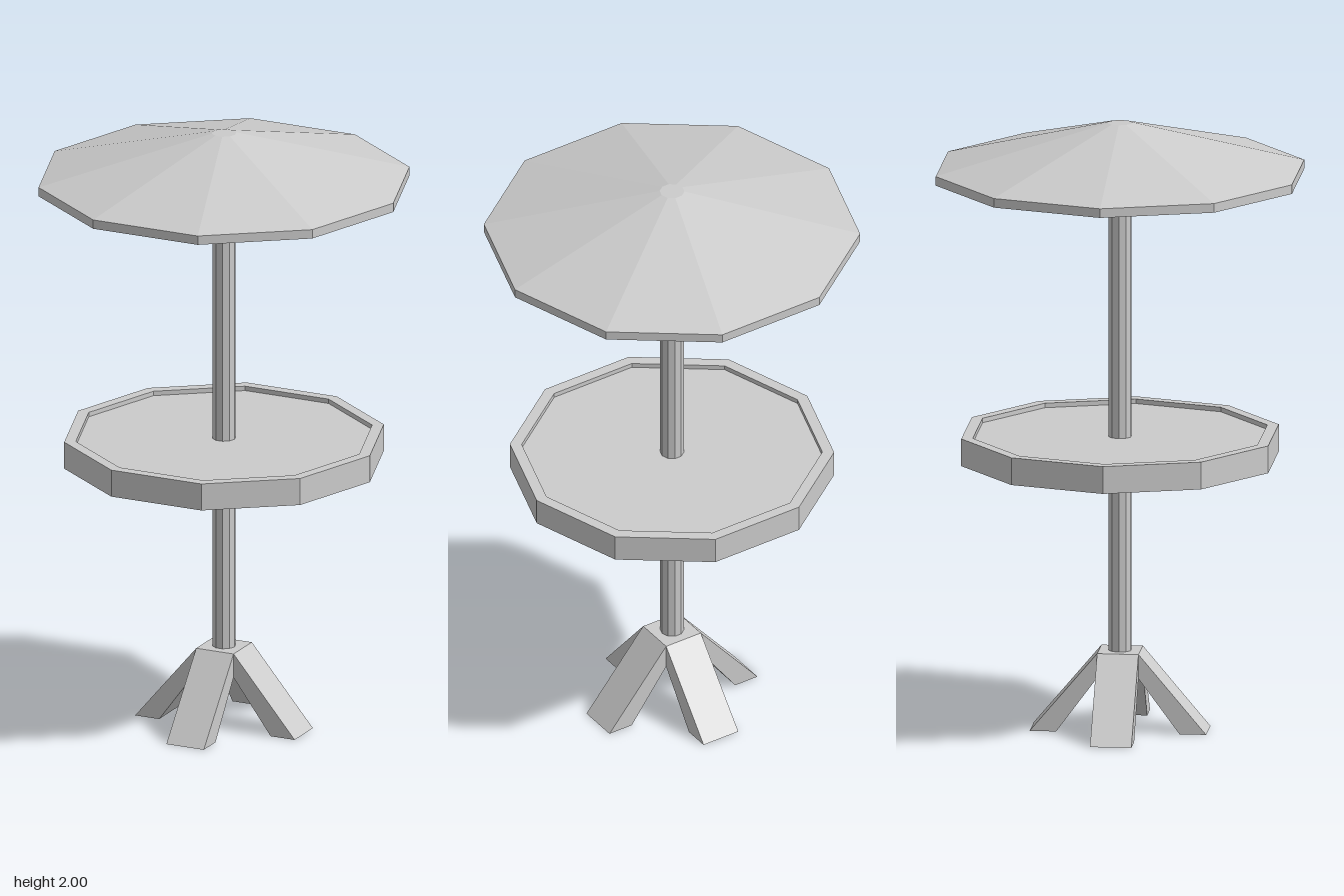
import * as THREE from 'three';

const SIDES = 10;

export function createModel() {
  const model = new THREE.Group();
  const material = new THREE.MeshStandardMaterial({ color: 0xcccccc, flatShading: true });

  const add = (name, geometry) => {
    const mesh = new THREE.Mesh(geometry, material);
    mesh.name = name;
    model.add(mesh);
    return mesh;
  };

  // Ten-sided turned part from [radius, height] pairs, bottom centre to top centre
  const turned = (name, profile) => {
    const points = profile.map(([r, y]) => new THREE.Vector2(r, y));
    const geometry = new THREE.LatheGeometry(points, SIDES, Math.PI / 2);
    return add(name, geometry.toNonIndexed());
  };

  // Parasol: shallow cone with a hollow underside and a short vertical rim
  turned('canopy', [
    [0, 1.97], [0.04, 1.97], [0.607, 1.82], [0.607, 1.85], [0.04, 2], [0, 2],
  ]);

  // Table top: raised lip above and below a thinner panel
  turned('tableTop', [
    [0, 0.905], [0.485, 0.905], [0.485, 0.89], [0.523, 0.89],
    [0.523, 0.98], [0.485, 0.98], [0.485, 0.965], [0, 0.965],
  ]);

  // Pole from the hub up into the canopy
  turned('pole', [[0, 0.2], [0.038, 0.2], [0.038, 1.975], [0, 1.975]]);

  // Square hub joining the four legs
  const hubHalf = 0.067;
  add('hub', new THREE.BoxGeometry(hubHalf * 2, 0.08, hubHalf * 2).translate(0, 0.22, 0));

  // Four splayed legs with flat feet
  const legShape = new THREE.Shape([
    new THREE.Vector2(hubHalf, 0.18),
    new THREE.Vector2(0.2, 0),
    new THREE.Vector2(0.286, 0),
    new THREE.Vector2(hubHalf, 0.26),
  ]);
  const legGeometry = new THREE.ExtrudeGeometry(legShape, { depth: hubHalf * 2, bevelEnabled: false });
  legGeometry.translate(0, 0, -hubHalf);
  for (let i = 0; i < 4; i++) {
    add('leg' + (i + 1), legGeometry).rotation.y = (i * Math.PI) / 2;
  }

  return model;
}
